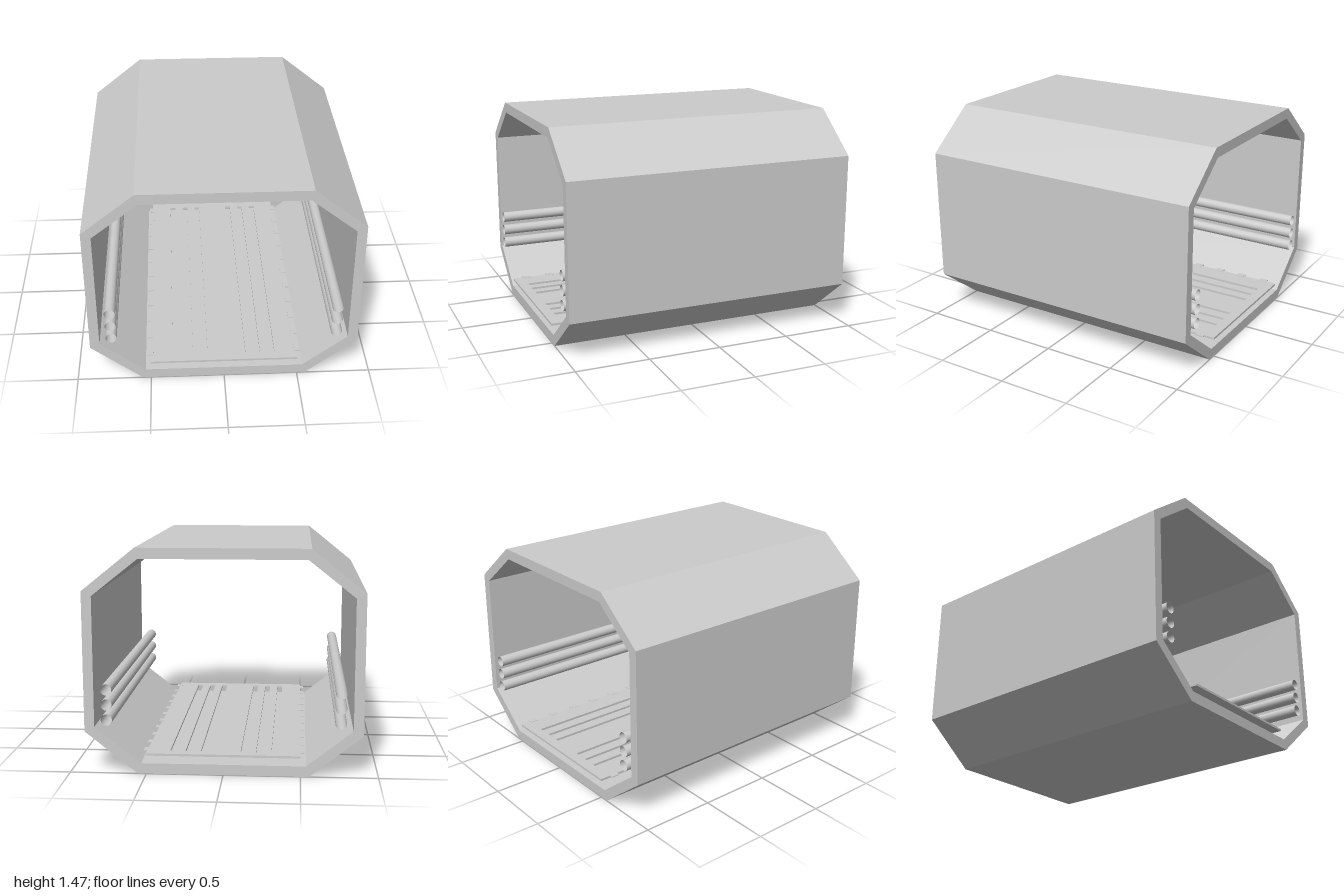
import * as THREE from 'three';

const LENGTH = 2;

// Closed outline of an octagon symmetric about x = 0, counter-clockwise
function octagon(Target, flat, wide, y0, y1, y2, y3) {
  const pts = [[-flat, y0], [flat, y0], [wide, y1], [wide, y2], [flat, y3], [-flat, y3], [-wide, y2], [-wide, y1]];
  return new Target(pts.map(([x, y]) => new THREE.Vector2(x, y)));
}

function rect(Target, cx, halfW, halfL) {
  return new Target([[-1, -1], [1, -1], [1, 1], [-1, 1]]
    .map(([sx, sy]) => new THREE.Vector2(cx + sx * halfW, sy * halfL)));
}

export function createModel() {
  const group = new THREE.Group();
  const flat = new THREE.MeshStandardMaterial({ color: 0xcccccc, flatShading: true });
  const smooth = new THREE.MeshStandardMaterial({ color: 0xcccccc, side: THREE.DoubleSide });

  const add = (name, geometry, material, parent = group) => {
    const mesh = new THREE.Mesh(geometry, material);
    mesh.name = name;
    parent.add(mesh);
    return mesh;
  };

  // Octagonal tunnel wall, open at both ends
  const wall = octagon(THREE.Shape, 0.555, 0.9, 0, 0.277, 1.193, 1.47);
  wall.holes.push(octagon(THREE.Path, 0.535, 0.835, 0.07, 0.308, 1.162, 1.4));
  const shell = new THREE.ExtrudeGeometry(wall, { depth: LENGTH, bevelEnabled: false });
  shell.translate(0, 0, -LENGTH / 2);
  add('tunnelShell', shell, flat);

  // Raised floor plate with three long slots on each side
  const plate = rect(THREE.Shape, 0, 0.5, LENGTH / 2);
  for (const side of [-1, 1]) {
    for (const x of [0.13, 0.23, 0.33]) {
      plate.holes.push(rect(THREE.Path, side * x, 0.02, 0.93));
    }
  }
  const floor = new THREE.ExtrudeGeometry(plate, { depth: 0.015, bevelEnabled: false });
  floor.rotateX(-Math.PI / 2);
  floor.translate(0, 0.122, 0);
  add('floorPlate', floor, flat);

  // Per side: a row of floor-edge lights and a stack of open pipes
  const tabGeometry = new THREE.BoxGeometry(0.042, 0.006, 0.06);
  const pipeGeometry = new THREE.CylinderGeometry(0.037, 0.037, LENGTH, 24, 1, true);
  pipeGeometry.rotateX(Math.PI / 2);
  for (const [label, side] of [['right', -1], ['left', 1]]) {
    const lights = new THREE.Group();
    lights.name = label + 'FloorLights';
    for (let i = 0; i < 11; i++) {
      add('floorLight', tabGeometry, flat, lights).position.set(side * 0.504, 0.136, -0.9 + i * 0.18);
    }
    const pipes = new THREE.Group();
    pipes.name = label + 'Pipes';
    for (let i = 0; i < 3; i++) {
      add('pipe', pipeGeometry, smooth, pipes).position.set(side * 0.755, 0.355 + i * 0.1, 0);
    }
    group.add(lights, pipes);
  }

  return group;
}
